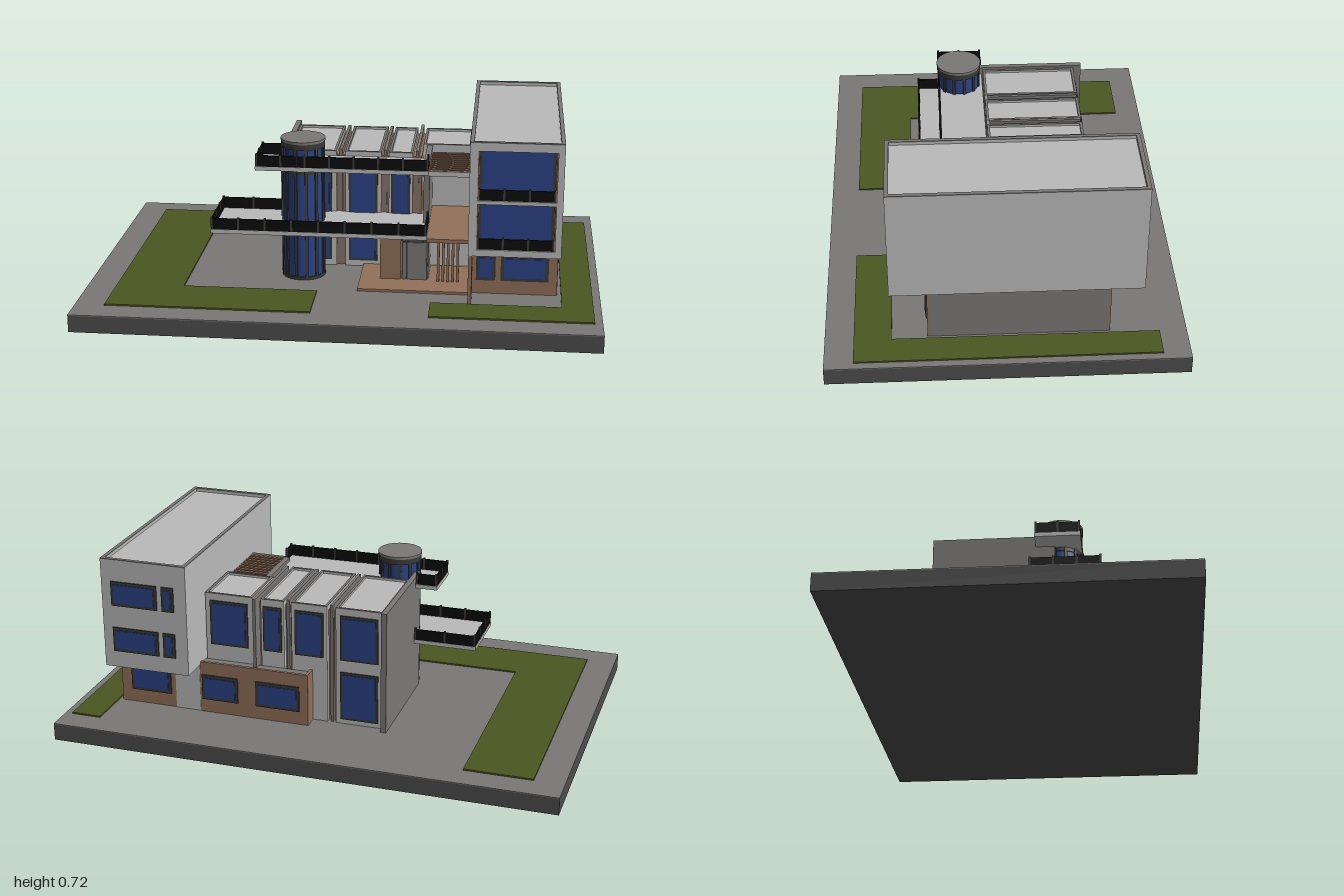
import * as THREE from 'three';

const mat = (name, color) => {
  const m = new THREE.MeshStandardMaterial({ color });
  m.name = name;
  return m;
};

export function createModel() {
  const light = mat('pale render', 0xbababa);
  const grey = mat('grey concrete', 0x7a7876);
  const dark = mat('dark plinth', 0x4c4c4c);
  const frameMat = mat('frame grey', 0x3a3a38);
  const brown = mat('timber brown', 0x91705a);
  const blue = mat('glass blue', 0x2b4286);
  const green = mat('lawn green', 0x4c5621);
  const black = mat('railing black', 0x0b0b0b);

  const model = new THREE.Group();
  model.name = 'house';
  let target = model;
  const group = (name, build) => {
    const g = new THREE.Group();
    g.name = name;
    model.add(g);
    target = g;
    build();
    target = model;
  };
  // box given by its bounds
  const box = (name, m, x0, x1, y0, y1, z0, z1) => {
    const mesh = new THREE.Mesh(new THREE.BoxGeometry(x1 - x0, y1 - y0, z1 - z0), m);
    mesh.position.set((x0 + x1) / 2, (y0 + y1) / 2, (z0 + z1) / 2);
    mesh.name = name;
    target.add(mesh);
    return mesh;
  };
  // framed pane on a wall facing +z (dir 1) or -z (dir -1)
  const pane = (x0, x1, y0, y1, z, dir, f = 0.012) => {
    const plate = (name, m, t, i) =>
      box(name, m, x0 + i, x1 - i, y0 + i, y1 - i, Math.min(z, z + dir * t), Math.max(z, z + dir * t));
    plate('windowFrame', frameMat, 0.005, 0);
    plate('windowGlass', blue, 0.008, f);
  };
  // four thin walls around a roof
  const rim = (m, x0, x1, y0, y1, z0, z1, t) => {
    box('parapet', m, x0, x1, y0, y1, z0, z0 + t);
    box('parapet', m, x0, x1, y0, y1, z1 - t, z1);
    box('parapet', m, x0, x0 + t, y0, y1, z0 + t, z1 - t);
    box('parapet', m, x1 - t, x1, y0, y1, z0 + t, z1 - t);
  };
  // solid railing between two points, with posts
  const railing = (xa, za, xb, zb, y, h = 0.045) => {
    const t = 0.003;
    box('railingPanel', black, Math.min(xa, xb) - t, Math.max(xa, xb) + t, y, y + h,
      Math.min(za, zb) - t, Math.max(za, zb) + t);
    const n = Math.max(1, Math.round(Math.hypot(xb - xa, zb - za) / 0.1));
    for (let i = 0; i <= n; i++) {
      const x = xa + (xb - xa) * i / n, z = za + (zb - za) * i / n;
      box('railingPost', frameMat, x - 0.004, x + 0.004, y, y + h + 0.005, z - 0.004, z + 0.004);
    }
  };

  group('site', () => {
    box('plinth', dark, -1, 1, 0, 0.066, -0.6725, 0.6725);
    box('paving', grey, -1, 1, 0.066, 0.07, -0.6725, 0.6725);
    box('leftLawn', green, -0.885, -0.62, 0.07, 0.076, -0.57, 0.565);
    box('leftFrontLawn', green, -0.62, -0.095, 0.07, 0.076, 0.345, 0.565);
    box('rightLawn', green, 0.85, 0.97, 0.07, 0.076, -0.57, 0.565);
    box('rightFrontLawn', green, 0.35, 0.85, 0.07, 0.076, 0.425, 0.565);
    box('entranceDeck', brown, 0.06, 0.49, 0.07, 0.08, 0.03, 0.32);
  });

  group('tallWing', () => {
    // ground floor
    box('groundFloor', grey, 0.5, 0.835, 0.07, 0.285, -0.38, 0.285);
    box('groundFrontWall', brown, 0.495, 0.834, 0.07, 0.272, 0.285, 0.292);
    box('groundBackWall', brown, 0.6, 0.834, 0.07, 0.272, -0.386, -0.38);
    box('groundSideWall', brown, 0.493, 0.5, 0.07, 0.272, -0.38, 0.285);
    box('backPillar', light, 0.495, 0.6, 0.07, 0.272, -0.388, -0.37);
    pane(0.52, 0.595, 0.125, 0.23, 0.292, 1);
    pane(0.615, 0.8, 0.125, 0.23, 0.292, 1);
    pane(0.62, 0.79, 0.125, 0.23, -0.386, -1);
    // upper floors with an open, recessed front
    box('upperBody', light, 0.49, 0.84, 0.272, 0.705, -0.508, 0.33);
    box('frontLeftCheek', light, 0.49, 0.52, 0.272, 0.705, 0.33, 0.43);
    box('frontRightCheek', light, 0.815, 0.84, 0.272, 0.705, 0.33, 0.43);
    box('frontTop', light, 0.52, 0.815, 0.685, 0.705, 0.33, 0.43);
    box('frontMiddleFloor', light, 0.52, 0.815, 0.478, 0.492, 0.33, 0.43);
    box('frontBottomFloor', light, 0.52, 0.815, 0.272, 0.298, 0.33, 0.43);
    for (const [y0, y1] of [[0.298, 0.478], [0.492, 0.685]]) {
      box('loggiaLining', brown, 0.52, 0.524, y0, y1, 0.33, 0.425);
      box('loggiaLining', brown, 0.811, 0.815, y0, y1, 0.33, 0.425);
      pane(0.524, 0.811, y0, y1, 0.33, 1, 0.01);
      railing(0.525, 0.42, 0.81, 0.42, y0, 0.042);
    }
    rim(light, 0.49, 0.84, 0.705, 0.716, -0.508, 0.43, 0.015);
    rim(grey, 0.49, 0.84, 0.716, 0.72, -0.508, 0.43, 0.015);
    for (const [y0, y1] of [[0.34, 0.44], [0.53, 0.63]]) {
      pane(0.61, 0.8, y0, y1, -0.508, -1);
      pane(0.54, 0.59, y0, y1, -0.508, -1);
    }
    // timber bars under the overhang
    for (let i = 0; i < 6; i++) {
      const z = 0.308 + i * 0.022;
      box('timberBar', brown, 0.492, 0.506, 0.07, 0.272, z, z + 0.008);
    }
  });

  group('middleWing', () => {
    const bays = [[-0.24, -0.05, 0.04], [-0.015, 0.13, 0.04], [0.16, 0.255, 0.04], [0.29, 0.485, -0.09]];
    bays.forEach(([x0, x1, z1], i) => {
      box('bay', light, x0, x1, 0.07, 0.545, -0.33, z1);
      rim(light, x0, x1, 0.545, 0.552, -0.33, z1, 0.01);
      rim(grey, x0, x1, 0.552, 0.555, -0.33, z1, 0.01);
      const e = (x1 - x0) * 0.1;
      pane(x0 + e, x1 - e, 0.34, 0.525, -0.33, -1, 0.01);
      if (i === 0) pane(x0 + e, x1 - e, 0.09, 0.29, -0.33, -1, 0.01);
      if (i < 3) pane(x0 + e, x1 - e, 0.095, 0.515, z1, 1, 0.01);
    });
    // recessed links and fins between the bays
    for (const [x0, x1] of [[-0.05, -0.015], [0.13, 0.16], [0.255, 0.29]]) {
      box('link', brown, x0, x1, 0.07, 0.535, -0.31, 0.025);
      const c = (x0 + x1) / 2;
      box('fin', grey, c - 0.006, c + 0.006, 0.07, 0.56, x0 > 0.2 ? -0.36 : -0.325, 0.03);
    }
    box('leftWall', grey, -0.262, -0.24, 0.07, 0.565, -0.362, 0.12);
    box('rightWall', grey, 0.305, 0.328, 0.07, 0.55, -0.09, 0.15);
    // low back extension
    box('backExtension', brown, 0.045, 0.493, 0.07, 0.27, -0.39, -0.33);
    box('extensionRoof', grey, 0.057, 0.49, 0.27, 0.273, -0.378, -0.33);
    box('extensionParapet', brown, 0.045, 0.493, 0.27, 0.283, -0.39, -0.378);
    box('extensionParapet', brown, 0.045, 0.057, 0.27, 0.283, -0.378, -0.33);
    pane(0.08, 0.26, 0.125, 0.23, -0.39, -1);
    pane(0.335, 0.485, 0.125, 0.23, -0.39, -1);
  });

  group('entrance', () => {
    box('entranceWall', brown, 0.14, 0.222, 0.07, 0.285, 0.04, 0.2);
    box('entranceLobby', grey, 0.222, 0.33, 0.07, 0.24, 0.04, 0.19);
    box('lintel', dark, 0.222, 0.33, 0.24, 0.285, 0.04, 0.2);
    box('doorFrame', frameMat, 0.226, 0.326, 0.08, 0.238, 0.19, 0.195);
    box('doorLeaf', grey, 0.248, 0.322, 0.08, 0.234, 0.195, 0.199);
    box('sideLight', grey, 0.23, 0.242, 0.08, 0.234, 0.195, 0.199);
    // covered passage with screen and pergola
    box('passageWall', light, 0.328, 0.493, 0.07, 0.28, 0, 0.02);
    box('passageFloor', brown, 0.328, 0.49, 0.28, 0.295, -0.09, 0.32);
    for (let i = 0; i < 5; i++) {
      const x = 0.365 + i * 0.019;
      box('screenSlat', brown, x, x + 0.01, 0.08, 0.28, 0.2, 0.212);
    }
    for (let i = 0; i < 10; i++) {
      const z = -0.065 + i * 0.027;
      box('pergolaSlat', brown, 0.328, 0.49, 0.515, 0.53, z, z + 0.014);
    }
    box('pergolaBeam', light, 0.328, 0.49, 0.512, 0.532, 0.2, 0.208);
  });

  group('balconies', () => {
    for (const [x0, z0, z1, y] of [[-0.515, 0.035, 0.31, 0.285], [-0.35, 0.045, 0.225, 0.52]]) {
      const x1 = 0.328, t = y + 0.016, e = 0.005;
      box('balconySlab', light, x0, x1, y, t, z0, z1);
      railing(x0 + e, z1 - e, x1 - e, z1 - e, t);
      railing(x0 + e, z0 + e, x0 + e, z1 - e, t);
      railing(x0 + e, z0 + e, -0.266, z0 + e, t);
      railing(x1 - e, 0.16, x1 - e, z1 - e, t);
    }
  });

  group('stairTower', () => {
    const cx = -0.17, cz = 0.14;
    const drum = (name, m, r, y0, y1) => {
      const mesh = new THREE.Mesh(new THREE.CylinderGeometry(r, r, y1 - y0, 40), m);
      mesh.position.set(cx, (y0 + y1) / 2, cz);
      mesh.name = name;
      target.add(mesh);
    };
    drum('towerGlass', blue, 0.08, 0.07, 0.61);
    drum('towerBase', frameMat, 0.086, 0.07, 0.082);
    drum('towerBand', frameMat, 0.083, 0.275, 0.285);
    drum('towerBand', frameMat, 0.083, 0.505, 0.52);
    drum('towerCrown', frameMat, 0.086, 0.605, 0.628);
    drum('towerRoof', grey, 0.088, 0.628, 0.638);
    for (let i = 0; i < 12; i++) {
      const a = (i + 0.5) * Math.PI / 6;
      const post = box('towerMullion', frameMat, -0.006, 0.006, 0.07, 0.61, -0.004, 0.004);
      post.position.set(cx + 0.081 * Math.sin(a), 0.34, cz + 0.081 * Math.cos(a));
      post.rotation.y = a;
    }
  });

  return model;
}
